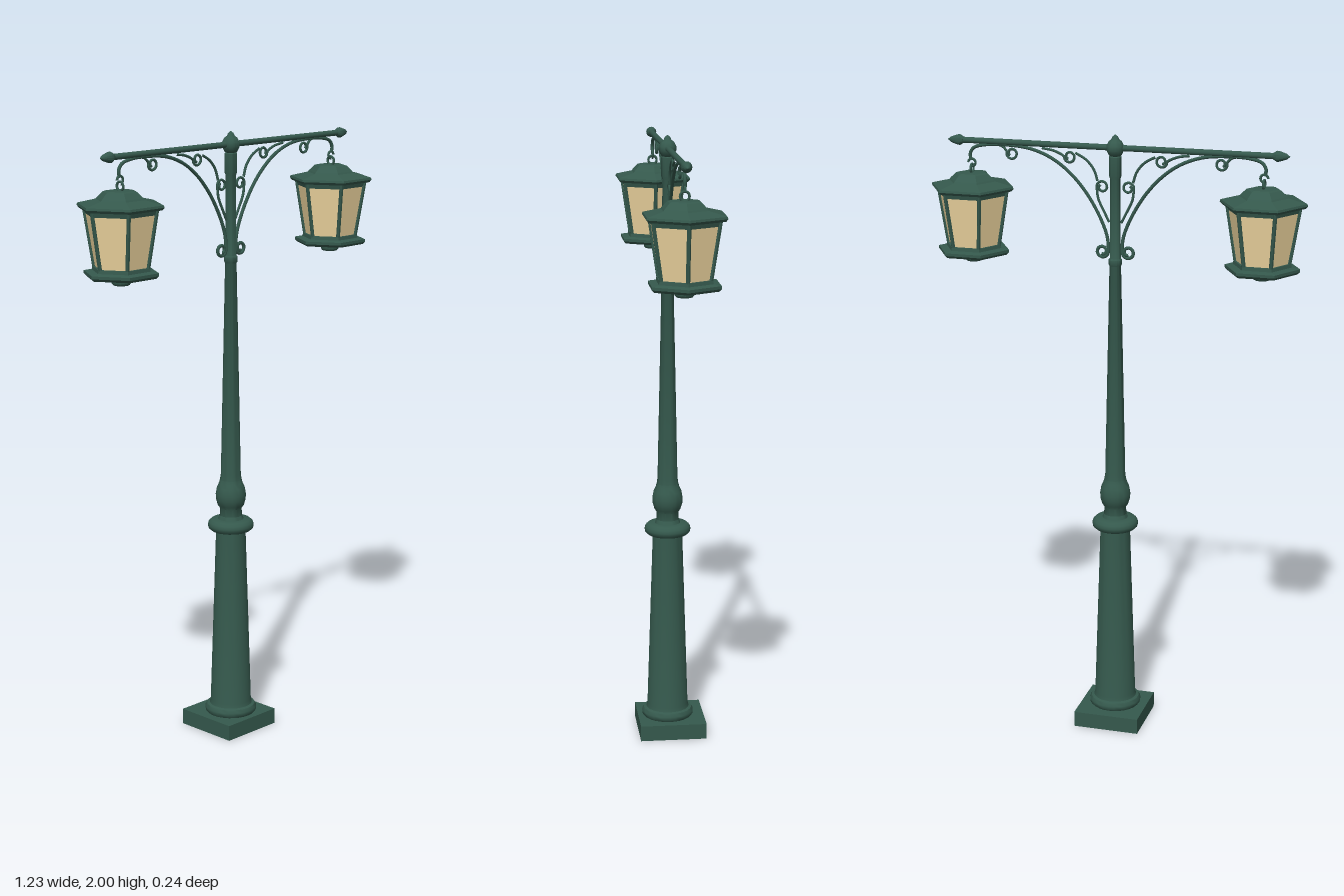
import * as THREE from 'three';
import { toCreasedNormals } from 'three/addons/utils/BufferGeometryUtils.js';

const green = new THREE.MeshStandardMaterial({ color: 0x35594d });
const greenFlat = new THREE.MeshStandardMaterial({ color: 0x35594d, flatShading: true });
const glass = new THREE.MeshStandardMaterial({ color: 0xf0d7a0, flatShading: true });

function add(parent, name, geometry, material = green, x = 0, y = 0, z = 0) {
  const mesh = new THREE.Mesh(geometry, material);
  mesh.name = name;
  mesh.position.set(x, y, z);
  parent.add(mesh);
  return mesh;
}

const profile = (pts) => pts.map(([r, y]) => new THREE.Vector2(r, y));
const turned = (pts, sides = 28) => toCreasedNormals(new THREE.LatheGeometry(profile(pts), sides), 0.7);
// Six-sided solid with corners on the x axis
const hexed = (pts) => new THREE.LatheGeometry(profile(pts), 6, Math.PI / 6);

// Wrought-iron rod through points in the xy plane
function rod(pts, radius, segments = 48) {
  const curve = new THREE.CatmullRomCurve3(pts.map(([x, y]) => new THREE.Vector3(x, y, 0)));
  return new THREE.TubeGeometry(curve, segments, radius, 8);
}

// Points spiralling inward round a centre
function curl(cx, cy, r, start, turn) {
  return Array.from({ length: 15 }, (_, i) => {
    const t = i / 14, a = start + turn * t, s = r * (1 - 0.55 * t * t);
    return [cx + s * Math.cos(a), cy + s * Math.sin(a)];
  });
}

// Bar between two points
function bar(a, b, radius) {
  return new THREE.TubeGeometry(new THREE.LineCurve3(a, b), 1, radius, 6);
}

function createLantern() {
  const g = new THREE.Group();
  g.name = 'lantern';
  add(g, 'roof', hexed([[0, 1.80], [0.132, 1.80], [0.139, 1.808], [0.137, 1.815], [0.078, 1.829],
    [0.074, 1.834], [0.055, 1.852], [0.045, 1.855], [0, 1.856]]), greenFlat);
  add(g, 'glassPanes', hexed([[0.083, 1.615], [0.115, 1.803]]), glass);
  add(g, 'lowerTray', hexed([[0, 1.592], [0.112, 1.592], [0.12, 1.6], [0.12, 1.609], [0.094, 1.613],
    [0.092, 1.624], [0, 1.624]]), greenFlat);
  add(g, 'upperBand', hexed([[0.114, 1.785], [0.12, 1.805]]), greenFlat);
  add(g, 'bottomKnob', turned([[0, 1.568], [0.025, 1.568], [0.03, 1.574], [0.03, 1.595]], 16));
  // Corner bars
  for (let i = 0; i < 6; i++) {
    const a = i * Math.PI / 3;
    const at = (r, y) => new THREE.Vector3(r * Math.cos(a), y, r * Math.sin(a));
    add(g, 'cornerBar', bar(at(0.084, 1.612), at(0.116, 1.805), 0.0065), greenFlat);
  }
  const ring = add(g, 'hangingRing', new THREE.TorusGeometry(0.014, 0.004, 8, 20), green, 0, 1.868);
  ring.rotation.y = Math.PI / 2;
  add(g, 'hookTip', new THREE.TorusGeometry(0.012, 0.004, 8, 16, Math.PI * 1.5), green, 0, 1.887);
  return g;
}

function createSide() {
  const side = new THREE.Group();
  side.name = 'armSide';
  // Straight cross arm with a pointed end
  const arm = add(side, 'crossArm', new THREE.CylinderGeometry(0.0095, 0.0095, 0.53, 14), green, 0.265, 1.958);
  arm.rotation.z = -Math.PI / 2;
  const tip = add(side, 'armFinial', turned([[0, -0.012], [0.01, -0.01], [0.017, 0.002], [0.017, 0.008],
    [0.009, 0.032], [0, 0.044]], 16), green, 0.512, 1.958);
  tip.rotation.z = -Math.PI / 2;

  // Sweeping bracket that ends in the lantern hook
  add(side, 'bracket', rod([[0.478, 1.895], [0.481, 1.915], [0.468, 1.935], [0.43, 1.946], [0.36, 1.949],
    [0.28, 1.941], [0.21, 1.915], [0.15, 1.872], [0.095, 1.81], [0.048, 1.73], [0.026, 1.67],
    ...curl(0.042, 1.625, 0.019, Math.PI, Math.PI * 2.6)], 0.0055, 110));
  // Scrolls filling the bracket
  add(side, 'outerScroll', rod([[0.4, 1.949], [0.375, 1.945],
    ...curl(0.341, 1.923, 0.018, 0.3, -Math.PI * 2.4)], 0.0042));
  add(side, 'middleScroll', rod([[0.24, 1.945], [0.2, 1.938],
    ...curl(0.15, 1.922, 0.018, 0, -Math.PI * 2.4)], 0.0042));
  add(side, 'innerScroll', rod([[0.02, 1.72], [0.035, 1.75], [0.056, 1.795],
    ...curl(0.043, 1.832, 0.018, -0.3, Math.PI * 2.4)], 0.0042));
  add(side, 'innerCurve', rod([[0.13, 1.935], [0.095, 1.915], [0.07, 1.885], [0.058, 1.85]], 0.0042, 20));

  const lantern = createLantern();
  lantern.position.x = 0.476;
  side.add(lantern);
  return side;
}

export function createModel() {
  const model = new THREE.Group();
  model.name = 'streetLamp';

  add(model, 'basePlinth', new THREE.BoxGeometry(0.22, 0.052, 0.22), green, 0, 0.026, -0.01);
  add(model, 'lowerColumn', turned([[0.078, 0.05], [0.085, 0.058], [0.086, 0.07], [0.08, 0.08], [0.071, 0.083],
    [0.068, 0.095], [0.049, 0.69], [0.065, 0.69], [0.074, 0.698], [0.076, 0.708], [0.073, 0.718],
    [0.064, 0.726], [0.042, 0.728], [0.037, 0.74]]));
  add(model, 'columnBulb', turned([[0.037, 0.735], [0.036, 0.765], [0.043, 0.775], [0.049, 0.795],
    [0.05, 0.812], [0.046, 0.835], [0.039, 0.85], [0.036, 0.862]]));
  add(model, 'upperColumn', turned([[0.036, 0.86], [0.033, 0.88], [0.0185, 1.58], [0.0215, 1.585],
    [0.0215, 1.6], [0.0175, 1.605], [0.0165, 1.86], [0.02, 1.87], [0.02, 1.93], [0.014, 1.935]]));
  add(model, 'topFinial', turned([[0.012, 1.928], [0.02, 1.935], [0.028, 1.95], [0.028, 1.964],
    [0.021, 1.978], [0.012, 1.985], [0.009, 1.993], [0, 2]], 20));

  for (const turn of [0, Math.PI]) {
    const side = createSide();
    side.rotation.y = turn;
    model.add(side);
  }
  return model;
}
